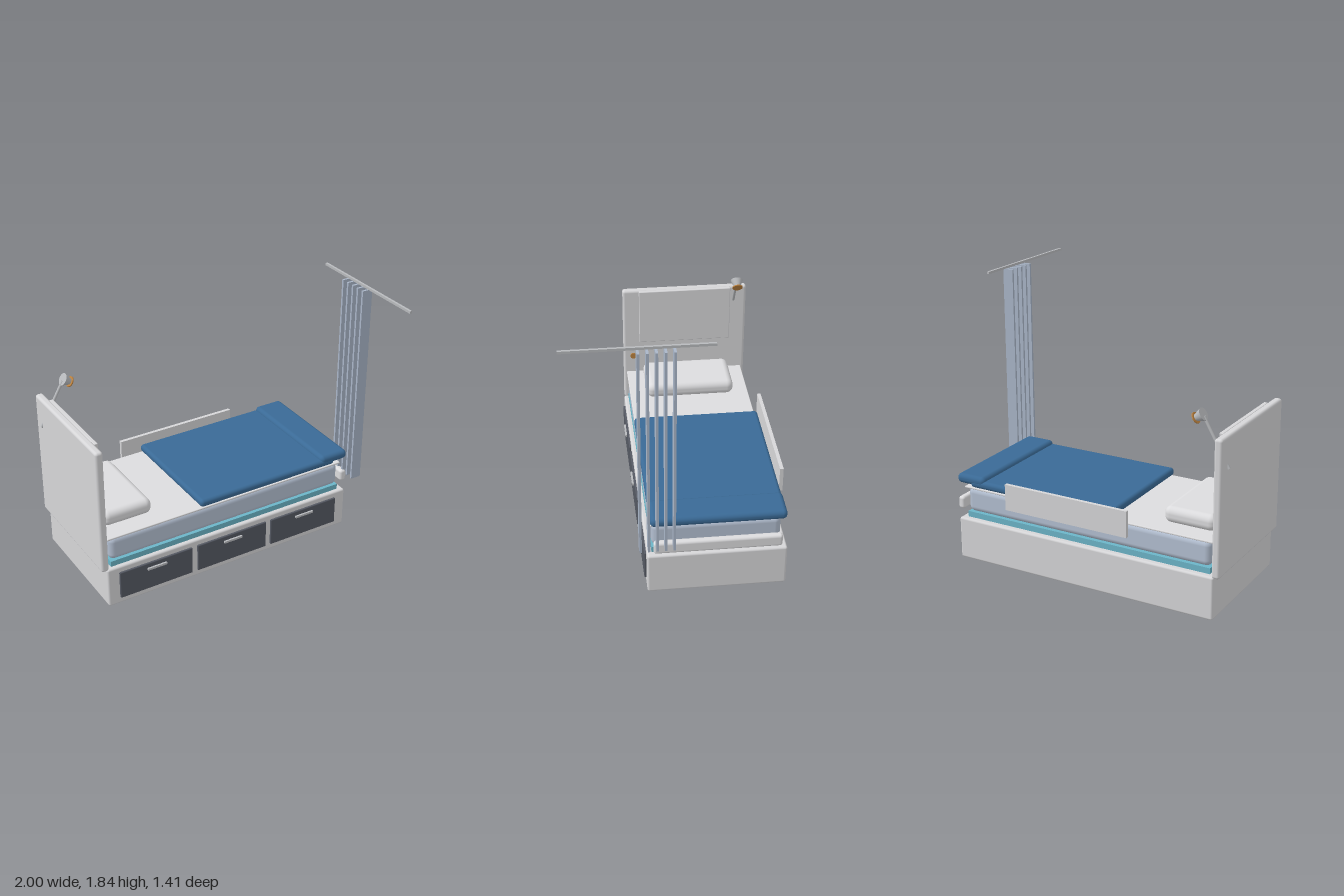
import * as THREE from 'three';
import { RoundedBoxGeometry } from 'three/addons/geometries/RoundedBoxGeometry.js';

const mat = (name, color) => {
  const m = new THREE.MeshStandardMaterial({ color });
  m.name = name;
  return m;
};

export function createModel() {
  const model = new THREE.Group();
  model.name = 'bed';

  const frame = mat('frame light grey', 0xd6d6d8);
  const drawerMat = mat('drawer charcoal', 0x555963);
  const teal = mat('slat base teal', 0x6cb5c8);
  const mattressMat = mat('mattress blue grey', 0xb4c0d2);
  const curtainMat = mat('curtain blue grey', 0xaab6c8);
  const linen = mat('linen white', 0xdcdcde);
  const blanketMat = mat('blanket blue', 0x3a6a96);
  const metal = mat('metal grey', 0xb8babd);
  const brass = mat('warm brass', 0xbb8240);

  const add = (name, geometry, material, parent = model) => {
    const mesh = new THREE.Mesh(geometry, material);
    mesh.name = name;
    parent.add(mesh);
    return mesh;
  };

  // Box given by its extents; a radius above zero rounds all edges
  const box = (name, material, [x0, x1], [y0, y1], [z0, z1], radius = 0, parent = model) => {
    const size = [x1 - x0, y1 - y0, z1 - z0];
    const geometry = radius
      ? new RoundedBoxGeometry(...size, 4, radius)
      : new THREE.BoxGeometry(...size);
    const mesh = add(name, geometry, material, parent);
    mesh.position.set((x0 + x1) / 2, (y0 + y1) / 2, (z0 + z1) / 2);
    return mesh;
  };

  // Cylinder or cone between two points
  const rod = (name, material, a, b, r0, r1 = r0, parent = model) => {
    const from = new THREE.Vector3(...a);
    const dir = new THREE.Vector3(...b).sub(from);
    const mesh = add(name, new THREE.CylinderGeometry(r1, r0, dir.length(), 24), material, parent);
    mesh.position.copy(from).addScaledVector(dir, 0.5);
    mesh.quaternion.setFromUnitVectors(new THREE.Vector3(0, 1, 0), dir.normalize());
    return mesh;
  };

  // Storage base with three drawers
  box('base', frame, [-0.945, 0.915], [0, 0.287], [-0.675, 0.212], 0.014);
  for (const x of [-0.595, -0.015, 0.562]) {
    const drawer = new THREE.Group();
    drawer.name = 'drawer';
    model.add(drawer);
    box('drawerFront', drawerMat, [x - 0.269, x + 0.269], [0.046, 0.246], [0.2, 0.225], 0.006, drawer);
    box('drawerHandle', metal, [x - 0.07, x + 0.07], [0.199, 0.214], [0.222, 0.238], 0, drawer);
  }

  // Mattress stack
  box('slatBase', teal, [-0.905, 0.87], [0.285, 0.326], [-0.635, 0.182]);
  box('mattress', mattressMat, [-0.905, 0.87], [0.326, 0.497], [-0.635, 0.182], 0.04);
  box('sheet', linen, [-0.925, 0.88], [0.495, 0.508], [-0.65, 0.19], 0.005);
  box('pillow', linen, [-0.885, -0.533], [0.508, 0.615], [-0.54, 0.075], 0.045);
  box('blanket', blanketMat, [-0.238, 0.83], [0.51, 0.564], [-0.66, 0.195], 0.024);
  box('blanketFold', blanketMat, [0.72, 0.936], [0.524, 0.59], [-0.66, 0.195], 0.03);

  // Headboard with inset cushion panel and a round switch
  box('headboard', frame, [-0.983, -0.93], [0.28, 1.168], [-0.675, 0.21], 0.018);
  box('headboardPanel', frame, [-0.935, -0.908], [0.757, 1.165], [-0.558, 0.095], 0.005);
  rod('headboardSwitch', brass, [-0.935, 0.636, 0.14], [-0.922, 0.636, 0.14], 0.022);

  // Reading lamp
  const lamp = new THREE.Group();
  lamp.name = 'readingLamp';
  model.add(lamp);
  const lz = -0.585;
  rod('lampArm', metal, [-0.99, 0.965, lz], [-0.82, 1.262, lz], 0.01, 0.01, lamp);
  rod('lampShade', metal, [-0.818, 1.273, lz], [-0.77, 1.243, lz], 0.042, 0.021, lamp);
  rod('lampBulb', brass, [-0.772, 1.244, lz], [-0.766, 1.24, lz], 0.036, 0.036, lamp);

  // Rear guard rail and padded foot bar
  box('guardRail', frame, [-0.37, 0.52], [0.432, 0.608], [-0.706, -0.682]);
  box('footBar', linen, [0.903, 0.95], [0.33, 0.415], [-0.635, 0.175], 0.018);

  // Privacy curtain strips hanging below a ceiling rail
  for (let i = 0; i < 5; i++) {
    const z = 0.05 + i * 0.0525;
    box('curtainStrip', curtainMat, [0.926, 1], [0.397, 1.815], [z - 0.0075, z + 0.0075]);
  }
  box('curtainRail', metal, [0.954, 0.97], [1.826, 1.842], [-0.185, 0.705]);

  return model;
}
